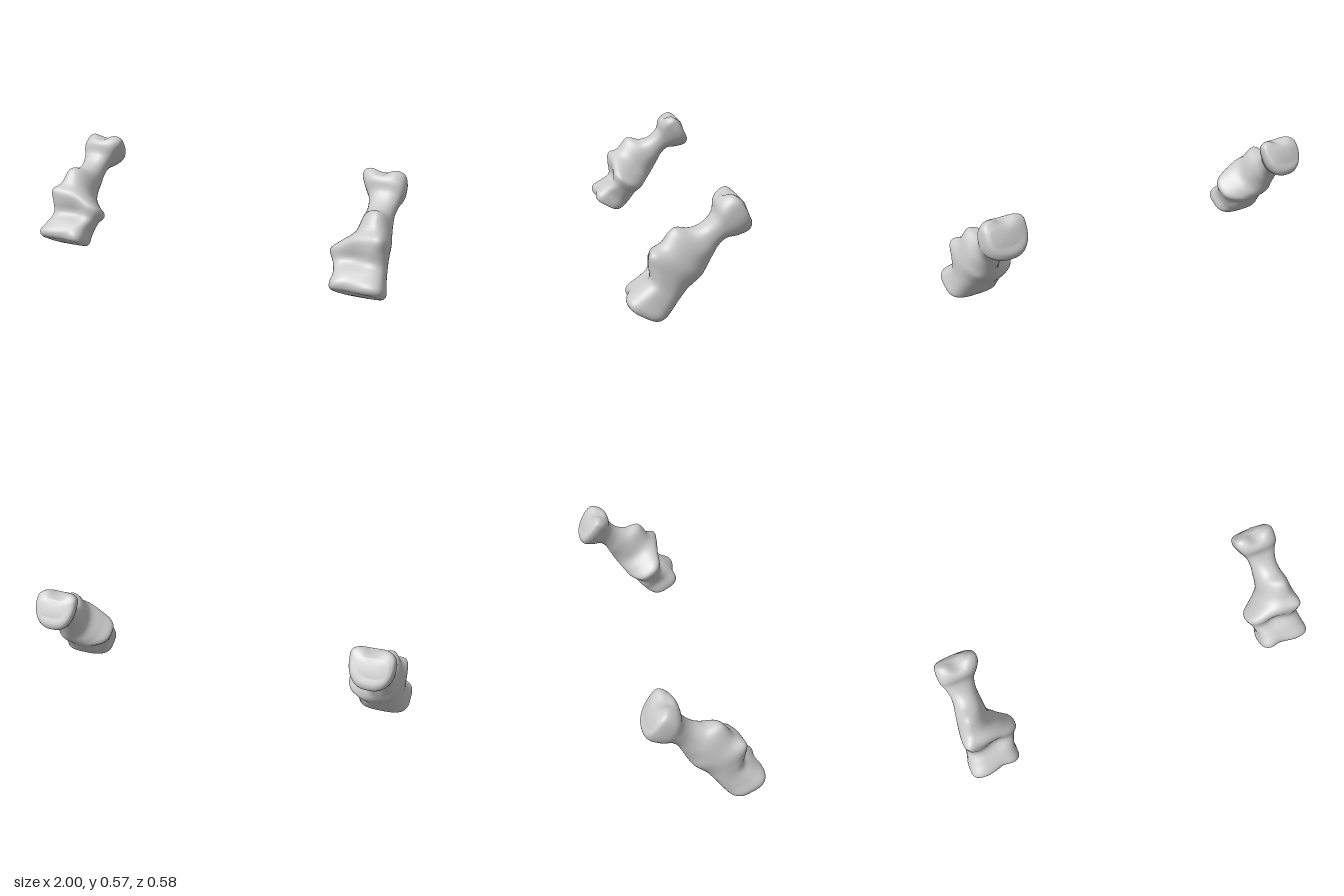
import * as THREE from 'three';

// Side profile per station, foot to head: back (z, y), front (z, y)
const PROFILE = [
  [0.175, 0.012, 0.245, 0.055],
  [0.14, 0.002, 0.283, 0.078],
  [0.11, 0.012, 0.286, 0.115],
  [0.08, 0.04, 0.235, 0.155],
  [0.04, 0.09, 0.19, 0.195],
  [0.0, 0.13, 0.19, 0.26],
  [-0.03, 0.16, 0.178, 0.315],
  [-0.06, 0.195, 0.13, 0.352],
  [-0.085, 0.235, 0.075, 0.42],
  [-0.11, 0.285, 0.0, 0.412],
  [-0.135, 0.33, -0.06, 0.43],
  [-0.17, 0.363, -0.105, 0.475],
  [-0.225, 0.373, -0.118, 0.53],
  [-0.275, 0.392, -0.145, 0.562],
  [-0.288, 0.425, -0.185, 0.577],
  [-0.272, 0.462, -0.225, 0.55],
];

// Widths per station: inner x, outer x, front crest x, heights (0 back, 1 front)
// of the inner and outer extremes, squareness exponent
const WIDTHS = [
  [0.77, 0.96, 0.86, 0.5, 0.5, 0.7],
  [0.735, 0.99, 0.87, 0.5, 0.55, 0.6],
  [0.728, 1.0, 0.89, 0.55, 0.55, 0.6],
  [0.73, 0.987, 0.87, 0.6, 0.55, 0.65],
  [0.708, 0.976, 0.87, 0.6, 0.55, 0.72],
  [0.684, 0.975, 0.9, 0.55, 0.6, 0.8],
  [0.735, 0.975, 0.92, 0.5, 0.65, 0.85],
  [0.785, 0.965, 0.9, 0.45, 0.55, 0.9],
  [0.795, 0.952, 0.895, 0.4, 0.45, 1.05],
  [0.797, 0.94, 0.88, 0.45, 0.45, 0.95],
  [0.797, 0.936, 0.87, 0.5, 0.5, 0.9],
  [0.785, 0.945, 0.865, 0.6, 0.55, 0.85],
  [0.755, 0.957, 0.85, 0.7, 0.6, 0.8],
  [0.733, 0.957, 0.85, 0.75, 0.65, 0.8],
  [0.737, 0.95, 0.85, 0.75, 0.65, 0.8],
  [0.78, 0.93, 0.85, 0.6, 0.6, 0.8],
];

// Soft hollows and swellings: centre, push, radius
const DENTS = [
  [[0.84, 0.58, -0.18], [0, -0.03, 0.008], 0.045],    // saddle of the head
  [[0.83, 0.1, 0.29], [0, 0, -0.02], 0.05],           // notch between the foot knuckles
  [[0.82, 0.22, 0.18], [0, -0.01, -0.025], 0.06],     // hollow above the foot
  [[0.75, 0.12, 0.05], [0.025, 0, 0.01], 0.045],      // groove behind the inner knob
  [[0.95, 0.3, 0.16], [0.004, 0.01, 0.01], 0.04],     // outer shoulder
];

// Smooth interpolation through rows of a table
function sample(rows, s) {
  const i = Math.min(Math.floor(s), rows.length - 2), f = s - i;
  const a = rows[Math.max(i - 1, 0)], b = rows[i];
  const c = rows[i + 1], d = rows[Math.min(i + 2, rows.length - 1)];
  return b.map((p, k) => p + 0.5 * f * (c[k] - a[k] +
    f * (2 * a[k] - 5 * p + 4 * c[k] - d[k] + f * (3 * (p - c[k]) + d[k] - a[k]))));
}

function dent(p) {
  const out = p.clone();
  for (const [centre, push, r] of DENTS) {
    const w = Math.exp(-p.distanceToSquared(new THREE.Vector3(...centre)) / (r * r));
    out.addScaledVector(new THREE.Vector3(...push), w);
  }
  return out;
}

function boneGeometry(side) {
  const rings = 90, around = 48, pos = [], index = [];
  const last = PROFILE.length - 1;
  const add = (p) => pos.push(p.x * side, p.y, p.z);
  const tri = (a, b, c) => (side > 0 ? index.push(a, b, c) : index.push(a, c, b));
  const bend = (v, e) => Math.sign(v) * Math.abs(v) ** e;

  const centres = [];
  for (let i = 0; i <= rings; i++) {
    const s = (i / rings) * last;
    const [bz, by, tz, ty] = sample(PROFILE, s);
    const [xIn, xOut, xCrest, hIn, hOut, e] = sample(WIDTHS, s);
    const xBack = (xIn + xOut) / 2;
    const centre = new THREE.Vector3();
    for (let j = 0; j < around; j++) {
      const a = (j / around) * Math.PI * 2;
      const sn = bend(Math.sin(a), e), cs = bend(Math.cos(a), e);
      const xMid = cs > 0 ? xCrest : xBack;
      const h = sn > 0 ? hOut : hIn;
      const x = xMid + (sn > 0 ? xOut - xMid : xMid - xIn) * sn;
      const t = h + (cs > 0 ? 1 - h : h) * cs;
      const p = dent(new THREE.Vector3(x, by + (ty - by) * t, bz + (tz - bz) * t));
      centre.addScaledVector(p, 1 / around);
      add(p);
    }
    centres.push(centre);
  }

  // Skin between rings
  for (let i = 0; i < rings; i++) {
    for (let j = 0; j < around; j++) {
      const k = (j + 1) % around;
      const a = i * around + j, b = i * around + k;
      tri(a, b, b + around);
      tri(a, b + around, a + around);
    }
  }

  // Slightly domed ends
  const foot = pos.length / 3, head = foot + 1, top = rings * around;
  add(centres[0].add(new THREE.Vector3(0, -0.003, 0.003)));
  add(centres[rings].add(new THREE.Vector3(0, 0.008, -0.008)));
  for (let j = 0; j < around; j++) {
    const k = (j + 1) % around;
    tri(foot, k, j);
    tri(head, top + j, top + k);
  }

  const g = new THREE.BufferGeometry();
  g.setAttribute('position', new THREE.Float32BufferAttribute(pos, 3));
  g.setIndex(index);
  g.computeVertexNormals();
  return g;
}

export function createModel() {
  const model = new THREE.Group();
  model.name = 'bonePair';
  const material = new THREE.MeshStandardMaterial({ color: 0xcccccc });
  for (const [name, side] of [['leftBone', 1], ['rightBone', -1]]) {
    const bone = new THREE.Mesh(boneGeometry(side), material);
    bone.name = name;
    model.add(bone);
  }
  return model;
}
